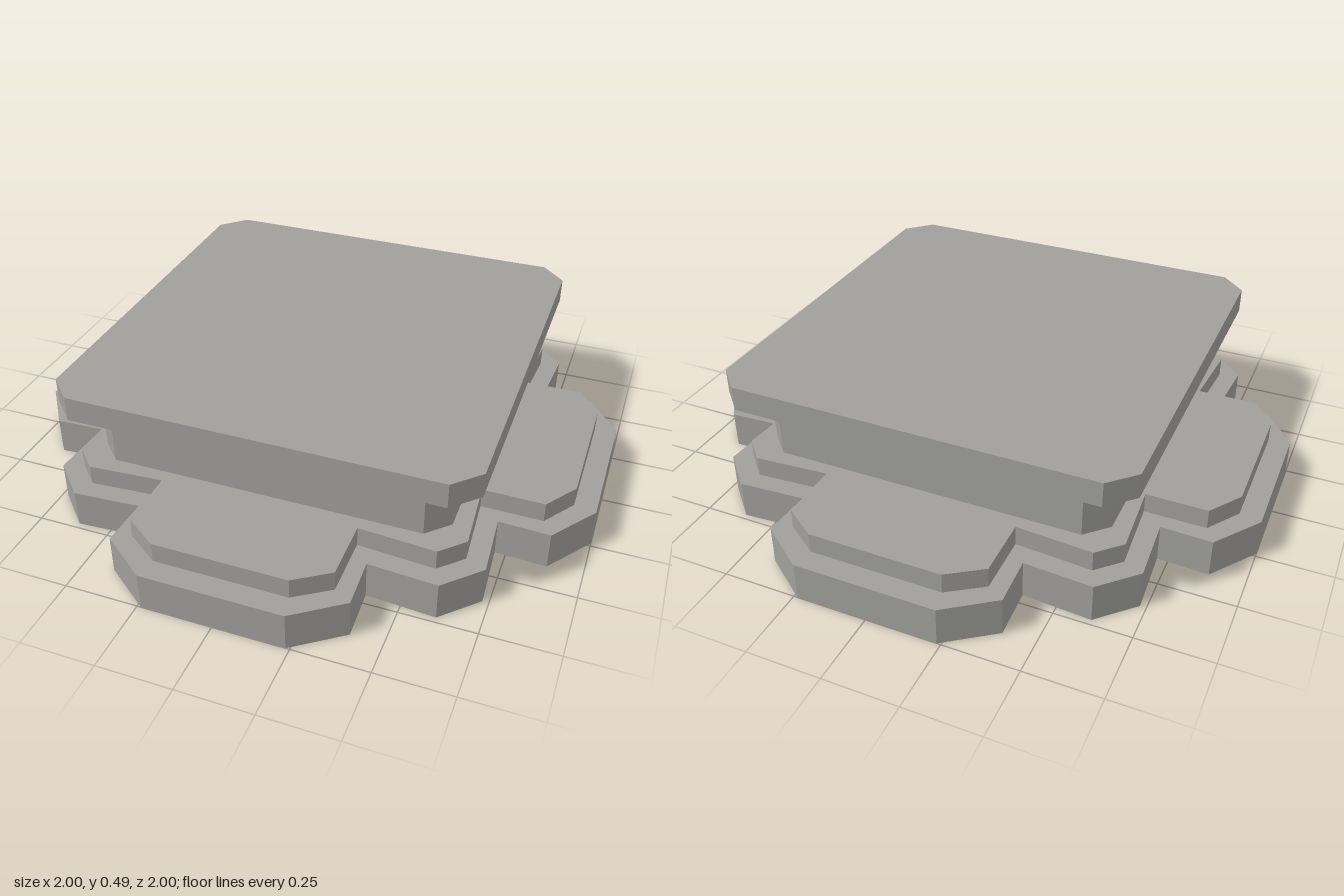
import * as THREE from 'three';
import { mergeGeometries } from 'three/addons/utils/BufferGeometryUtils.js';

// The inner lining is the outer skin shrunk towards the ground centre
const LINING = 0.935;

// Repeat one quadrant of corners four times, counterclockwise from above
function outline(quadrant) {
  const pts = [];
  for (let q = 0; q < 4; q++) {
    for (const [x, y] of quadrant) {
      const p = [[x, y], [-y, x], [-x, -y], [y, -x]][q];
      pts.push(new THREE.Vector2(p[0], p[1]));
    }
  }
  return pts;
}

// Band of quads between two matching outlines
function wall(low, y0, high, y1) {
  const pos = [];
  low.forEach((a, i) => {
    const j = (i + 1) % low.length;
    const A = [a.x, y0, -a.y], B = [low[j].x, y0, -low[j].y];
    const C = [high[j].x, y1, -high[j].y], D = [high[i].x, y1, -high[i].y];
    pos.push(...[A, B, C, A, C, D].flat());
  });
  const g = new THREE.BufferGeometry();
  g.setAttribute('position', new THREE.Float32BufferAttribute(pos, 3));
  g.computeVertexNormals();
  return g;
}

// Level face, optionally with a hole, facing up or down
function flat(outer, hole, y, down = false) {
  const shape = new THREE.Shape(outer);
  if (hole) shape.holes.push(new THREE.Path(hole));
  const g = new THREE.ShapeGeometry(shape).toNonIndexed();
  g.deleteAttribute('uv');
  g.rotateX(down ? Math.PI / 2 : -Math.PI / 2);
  g.translate(0, y, 0);
  return g;
}

// Outer skin plus its lining; mirroring turns the lining's faces inwards
function shell(parts) {
  const skin = mergeGeometries(parts);
  const lining = skin.clone().scale(-LINING, LINING, LINING);
  lining.computeVertexNormals();
  return mergeGeometries([skin, lining]);
}

export function createModel() {
  const group = new THREE.Group();
  group.name = 'pedestal';
  const material = new THREE.MeshStandardMaterial({
    color: 0xa09f9c, flatShading: true, side: THREE.DoubleSide,
  });
  const add = (name, geometry) => {
    const mesh = new THREE.Mesh(geometry, material);
    mesh.name = name;
    group.add(mesh);
  };

  // Plan outlines of the four tiers
  const base = outline([[1, 0.237], [0.885, 0.395], [0.715, 0.387], [0.73, 0.615],
    [0.615, 0.73], [0.387, 0.715], [0.395, 0.885], [0.237, 1]]);
  const step = outline([[0.927, 0.222], [0.85, 0.335], [0.645, 0.333], [0.663, 0.588],
    [0.588, 0.663], [0.333, 0.645], [0.335, 0.85], [0.222, 0.927]]);
  const neck = outline([[0.6, 0.528], [0.528, 0.6]]);
  const plate = outline([[0.7, 0.617], [0.617, 0.7]]);

  // Lobed base, open underneath, with a narrow rim joining skin and lining
  const baseInner = base.map((p) => p.clone().multiplyScalar(LINING));
  add('base', shell([wall(base, 0, base, 0.13), flat(base, step, 0.13)]));
  add('bottomRim', flat(base, baseInner, 0, true));

  // Smaller step on the base
  add('step', shell([wall(step, 0.13, step, 0.198), flat(step, neck, 0.198)]));

  // Square neck with clipped corners
  add('neck', shell([wall(neck, 0.198, neck, 0.33)]));

  // Flared top plate
  add('topPlate', shell([
    wall(neck, 0.33, plate, 0.403),
    wall(plate, 0.403, plate, 0.487),
    flat(plate, null, 0.487),
  ]));

  return group;
}
